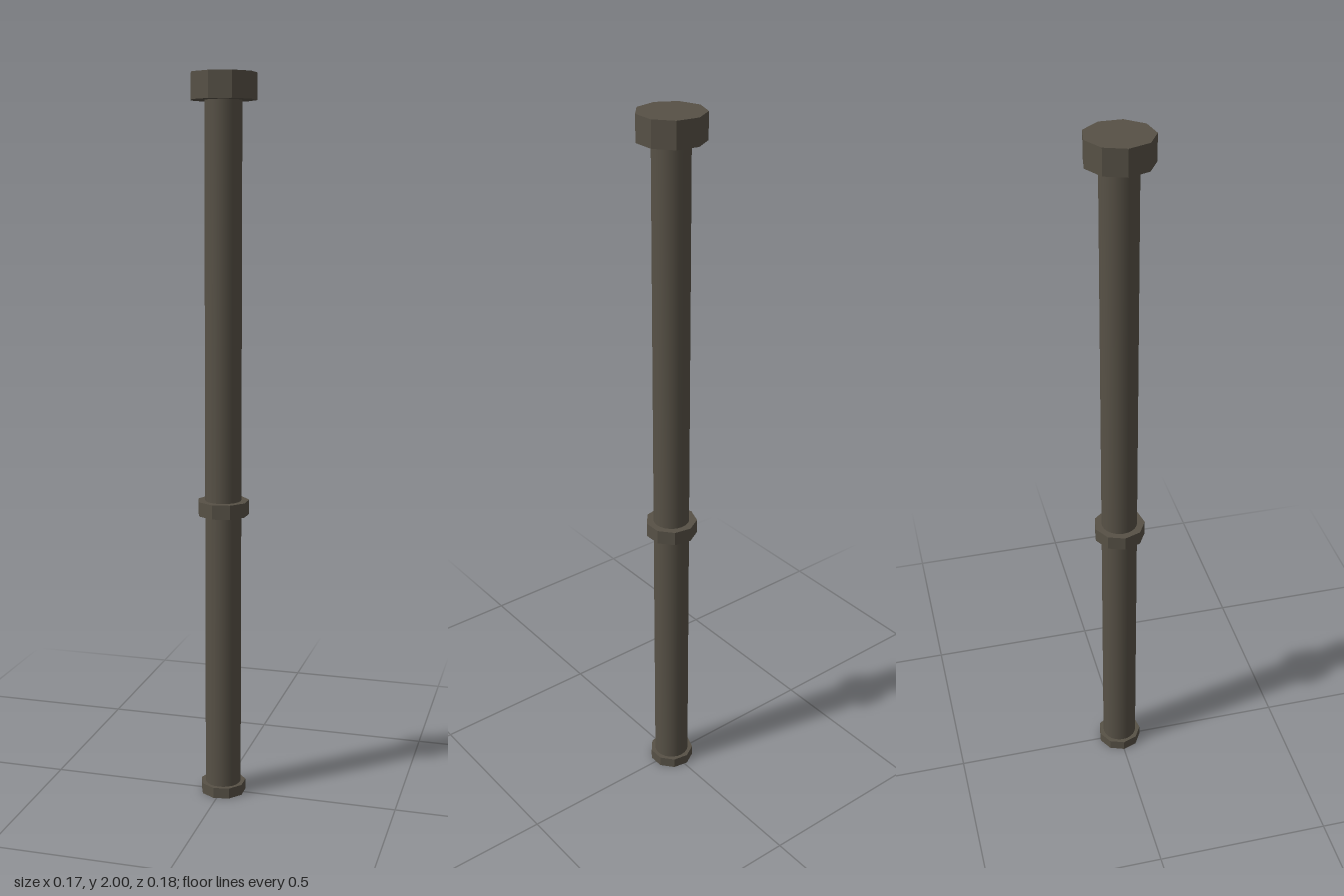
import * as THREE from 'three';

const AXIS_X = 0.0025; // nine-sided fittings are centred by their bounds, so the axis sits slightly off
const PIPE_RADIUS = 0.05;

export function createModel() {
  const group = new THREE.Group();
  const metal = new THREE.MeshStandardMaterial({ color: 0x575146 });
  const openMetal = new THREE.MeshStandardMaterial({ color: 0x575146, side: THREE.DoubleSide });

  function add(name, geometry, material, y = 0) {
    const mesh = new THREE.Mesh(geometry, material);
    mesh.name = name;
    mesh.position.set(AXIS_X, y, 0);
    group.add(mesh);
  }

  // Flat-faced nine-sided geometry
  function faceted(geometry) {
    const flat = geometry.toNonIndexed();
    flat.computeVertexNormals();
    return flat;
  }

  // Nine-sided ring around the pipe, with a corner pointing to -x
  function collar(name, radius, bottom, top) {
    const profile = [
      [PIPE_RADIUS - 0.003, bottom], [radius, bottom], [radius, top], [PIPE_RADIUS - 0.003, top],
    ].map(([r, y]) => new THREE.Vector2(r, y));
    add(name, faceted(new THREE.LatheGeometry(profile, 9, -Math.PI / 2)), metal);
  }

  // Long smooth pipe, open at the foot
  add('pipe', new THREE.CylinderGeometry(PIPE_RADIUS, PIPE_RADIUS, 1.94, 24, 1, true), openMetal, 0.97);

  // Collars at the foot and partway up
  collar('footCollar', 0.064, 0, 0.03);
  collar('middleCollar', 0.072, 0.815, 0.855);

  // Solid cap at the top
  add('topCap', faceted(new THREE.CylinderGeometry(0.09, 0.09, 0.07, 9, 1, false, -Math.PI / 2)), metal, 1.965);

  return group;
}
